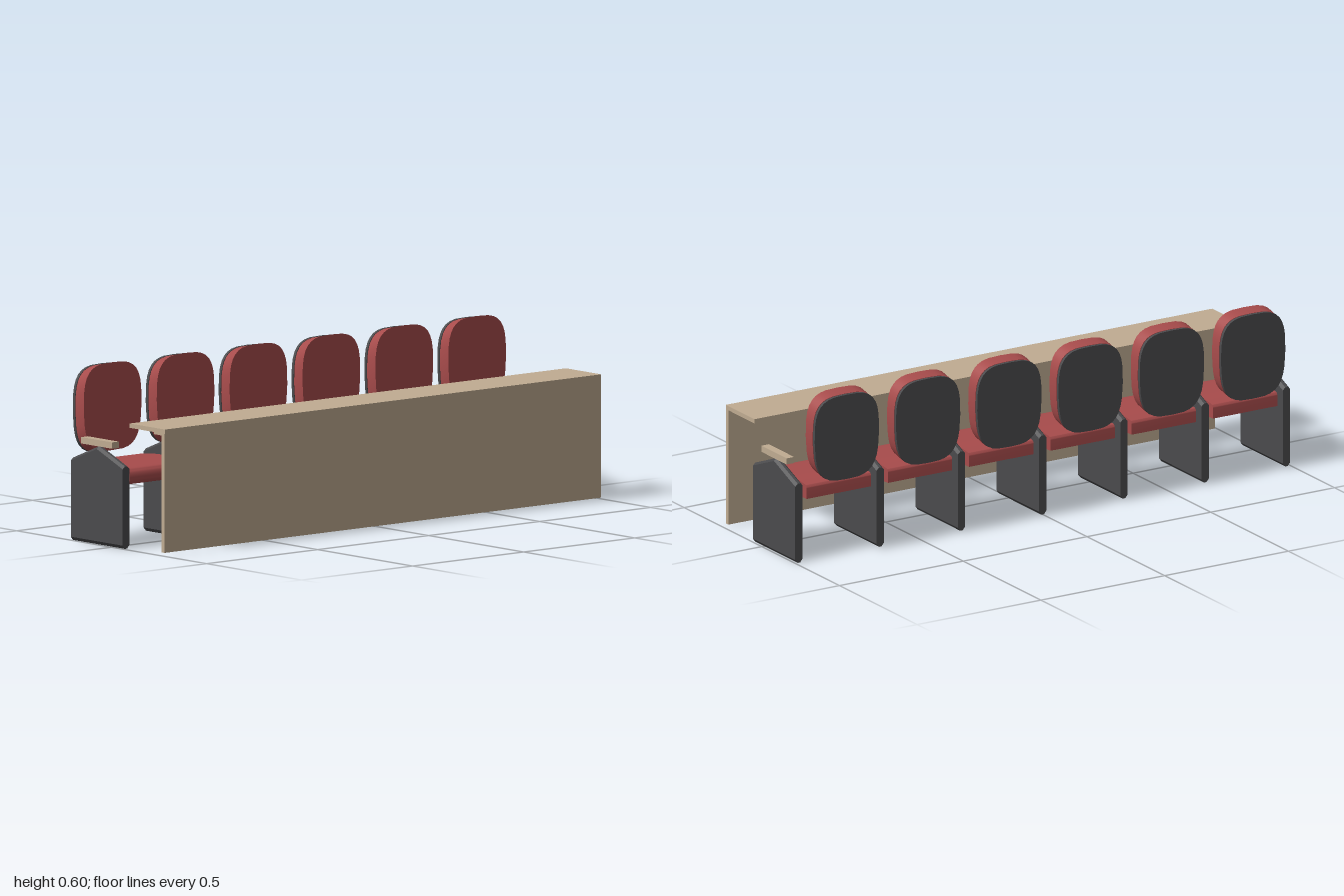
import * as THREE from 'three';
import { toCreasedNormals } from 'three/addons/utils/BufferGeometryUtils.js';

const wood = new THREE.MeshStandardMaterial({ color: 0xc0ac92 });
wood.name = 'paleWood';
const fabric = new THREE.MeshStandardMaterial({ color: 0xa84c4c });
fabric.name = 'redFabric';
const plastic = new THREE.MeshStandardMaterial({ color: 0x4b4b4d });
plastic.name = 'charcoalPlastic';

function add(parent, name, geometry, material, x = 0, y = 0, z = 0) {
  const mesh = new THREE.Mesh(geometry, material);
  mesh.name = name;
  mesh.position.set(x, y, z);
  parent.add(mesh);
  return mesh;
}

// Box given by its x and y limits, centred on z
function slab(x0, x1, y0, y1, depth) {
  return new THREE.BoxGeometry(x1 - x0, y1 - y0, depth)
    .translate((x0 + x1) / 2, (y0 + y1) / 2, 0);
}

// Gabled side panel whose top and bottom edges are chamfered
function sidePanelGeometry() {
  const points = [[-0.215, 0], [0.058, 0], [0.058, 0.285], [-0.078, 0.34], [-0.215, 0.285]];
  const shape = new THREE.Shape(points.map(([x, y]) => new THREE.Vector2(x, y)));
  const geo = new THREE.ExtrudeGeometry(shape, { depth: 0.03, steps: 3, bevelEnabled: false });
  geo.translate(0, 0, -0.015);
  const p = geo.attributes.position;
  for (let i = 0; i < p.count; i++) {
    if (Math.abs(p.getZ(i)) > 0.012) p.setY(i, p.getY(i) + (p.getY(i) < 0.1 ? 0.012 : -0.009));
  }
  geo.computeVertexNormals();
  return geo;
}

// Rounded-square backrest pad between x0 and x1, leaning upward towards its front
function backGeometry(x0, x1, lift) {
  const points = [];
  const n = 32;
  const soft = (v) => Math.sign(v) * Math.pow(Math.abs(v), 0.6);
  for (let i = 0; i < n; i++) {
    const a = (i / n) * Math.PI * 2;
    const v = soft(Math.sin(a));
    const taper = v < 0 ? 1 + 0.05 * v : 1;
    points.push(new THREE.Vector2(soft(Math.cos(a)) * 0.13 * taper, 0.438 + v * 0.152));
  }
  const geo = new THREE.ExtrudeGeometry(new THREE.Shape(points), { depth: x1 - x0, bevelEnabled: false });
  geo.rotateY(Math.PI / 2).translate(x0, 0, 0);
  const p = geo.attributes.position;
  for (let i = 0; i < p.count; i++) {
    p.setY(i, p.getY(i) + lift * (p.getX(i) - x0) / (x1 - x0));
  }
  return toCreasedNormals(geo, 0.6);
}

// Cushion with a gently crowned top and rounded front
function seatGeometry() {
  const s = new THREE.Shape();
  s.moveTo(-0.21, 0.222);
  s.lineTo(0.02, 0.215);
  s.quadraticCurveTo(0.04, 0.215, 0.04, 0.24);
  s.quadraticCurveTo(0.04, 0.268, 0.02, 0.272);
  s.quadraticCurveTo(-0.08, 0.288, -0.2, 0.272);
  s.quadraticCurveTo(-0.21, 0.27, -0.21, 0.26);
  s.closePath();
  const geo = new THREE.ExtrudeGeometry(s, { depth: 0.26, bevelEnabled: false, curveSegments: 6 });
  return toCreasedNormals(geo.translate(0, 0, -0.13), 0.6);
}

export function createModel() {
  const model = new THREE.Group();
  model.name = 'deskWithSeatRow';

  // Long desk
  const desk = new THREE.Group();
  desk.name = 'desk';
  model.add(desk);
  add(desk, 'deskTop', slab(0.075, 0.26, 0.42, 0.435, 1.965), wood);
  add(desk, 'deskFrontPanel', slab(0.242, 0.258, 0.008, 0.42, 1.965), wood);

  // Side panels with armrests
  const pitch = 0.3283;
  const panelGeo = sidePanelGeometry();
  const armGeo = slab(-0.16, 0.003, 0.341, 0.363, 0.03);
  for (let i = -3; i <= 3; i++) {
    const support = new THREE.Group();
    support.name = 'seatSupport';
    support.position.z = i * pitch;
    model.add(support);
    add(support, 'sidePanel', panelGeo, plastic);
    add(support, 'armrest', armGeo, wood);
  }

  // Seats between the panels
  const seatGeo = seatGeometry();
  const padGeo = backGeometry(-0.248, -0.204, 0.01);
  const shellGeo = backGeometry(-0.262, -0.251, 0);
  for (let i = -2.5; i <= 2.5; i++) {
    const chair = new THREE.Group();
    chair.name = 'chair';
    chair.position.z = i * pitch;
    model.add(chair);
    add(chair, 'seatCushion', seatGeo, fabric);
    add(chair, 'backCushion', padGeo, fabric);
    add(chair, 'backShell', shellGeo, plastic);
  }
  return model;
}
